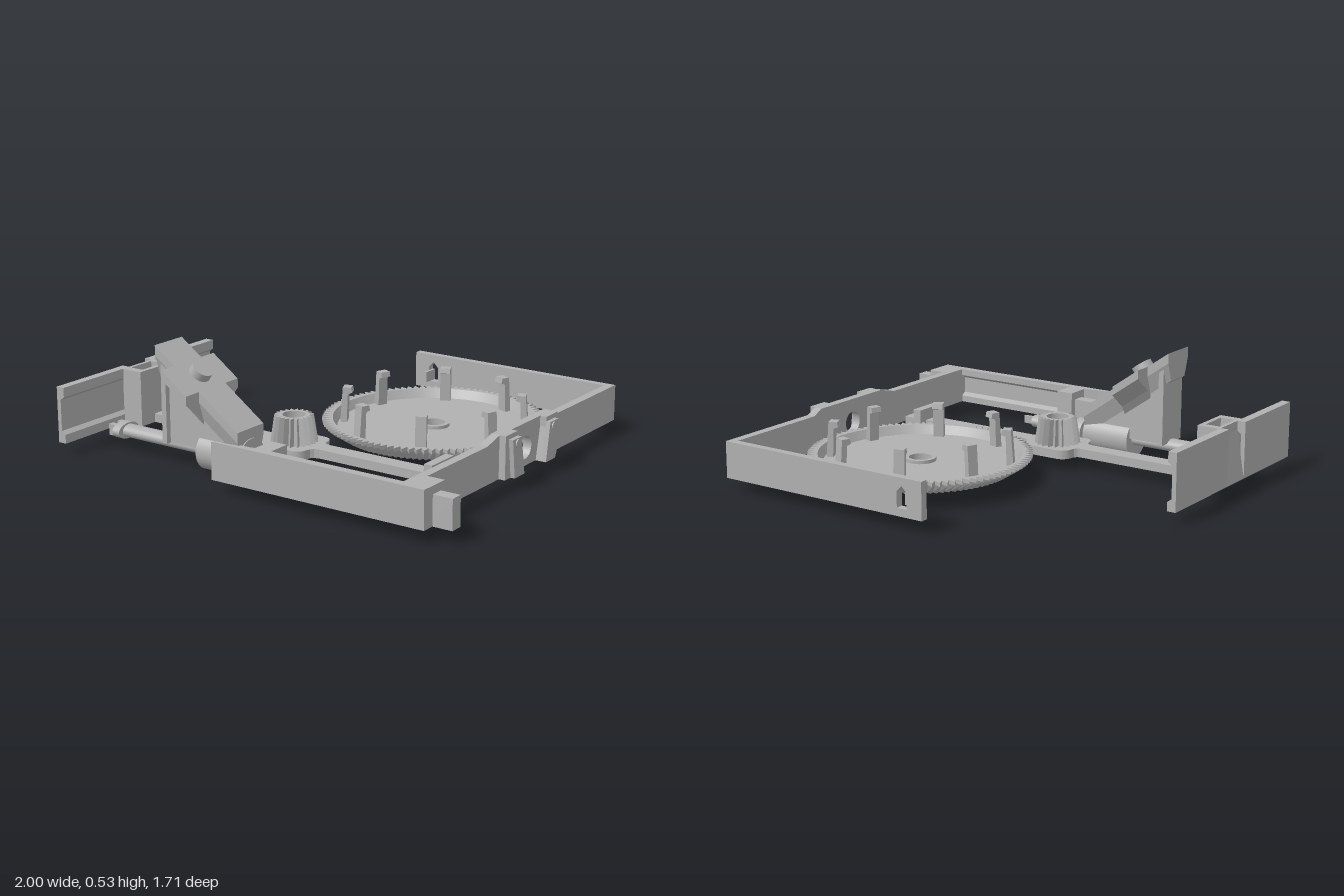
import * as THREE from 'three';

const grey = new THREE.MeshStandardMaterial({ color: 0xb0b0b0 });
grey.name = 'grey plastic';

export function createModel() {
  const model = new THREE.Group();
  model.name = 'gearMechanism';

  const add = (name, geometry, parent = model) => {
    const mesh = new THREE.Mesh(geometry, grey);
    mesh.name = name;
    parent.add(mesh);
    return mesh;
  };
  // box given by its limits
  const box = (name, x0, x1, y0, y1, z0, z1) => add(name,
    new THREE.BoxGeometry(x1 - x0, y1 - y0, z1 - z0)
      .translate((x0 + x1) / 2, (y0 + y1) / 2, (z0 + z1) / 2));
  const outline = (pts, holes = []) => {
    const shape = new THREE.Shape(pts.map(p => new THREE.Vector2(...p)));
    holes.forEach(h => shape.holes.push(h));
    return shape;
  };
  const circle = (x, y, r) => new THREE.Path().absarc(x, y, r, 0, Math.PI * 2, true);
  const extrude = (shape, depth) =>
    new THREE.ExtrudeGeometry(shape, { depth, bevelEnabled: false, curveSegments: 20 });
  const alongZ = (shape, z0, z1) => extrude(shape, z1 - z0).translate(0, 0, z0);
  // shape is drawn in (-z, y)
  const alongX = (shape, x0, x1) => extrude(shape, x1 - x0).rotateY(Math.PI / 2).translate(x0, 0, 0);
  // shape is drawn in (x, -z)
  const alongY = (shape, y0, y1) => extrude(shape, y1 - y0).rotateX(-Math.PI / 2).translate(0, y0, 0);
  const rod = (name, r, x0, x1, y, z, flat = 1) => add(name,
    new THREE.CylinderGeometry(r, r, x1 - x0, 32).rotateZ(Math.PI / 2)
      .scale(1, flat, 1).translate((x0 + x1) / 2, y, z));
  // toothed ring; each row is [height, root radius, tip radius], rows close on themselves
  const gear = (teeth, rows) => {
    const pos = [], index = [], n = teeth * 2;
    for (const [y, root, tip = root] of rows)
      for (let i = 0; i < n; i++) {
        const a = i / n * Math.PI * 2, r = i % 2 ? tip : root;
        pos.push(r * Math.cos(a), y, r * Math.sin(a));
      }
    rows.forEach((_, k) => {
      const b = k * n, t = ((k + 1) % rows.length) * n;
      for (let i = 0; i < n; i++) {
        const j = (i + 1) % n;
        index.push(b + i, t + i, b + j, b + j, t + i, t + j);
      }
    });
    const indexed = new THREE.BufferGeometry();
    indexed.setAttribute('position', new THREE.Float32BufferAttribute(pos, 3));
    indexed.setIndex(index);
    const geometry = indexed.toNonIndexed();
    geometry.computeVertexNormals();
    return geometry;
  };

  // Frame: side wall with a raised middle and a shaft hole
  const sideWall = outline([[-0.83, 0.055], [0.855, 0.055], [0.855, 0.22], [0.32, 0.22], [0.27, 0.245],
    [-0.16, 0.245], [-0.26, 0.22], [-0.83, 0.22]], [circle(0.05, 0.135, 0.05)]);
  add('sideWall', alongX(sideWall, 0.79, 0.83));
  // back wall with latch slot
  const slot = new THREE.Path([[-0.15, 0.09], [-0.15, 0.16], [-0.125, 0.185], [-0.1, 0.16], [-0.1, 0.09]]
    .map(p => new THREE.Vector2(...p)));
  add('backWall', alongZ(outline([[-0.225, 0.055], [0.79, 0.055], [0.79, 0.22], [-0.225, 0.22]], [slot]), -0.855, -0.82));
  box('backLatch', -0.135, -0.122, 0.1, 0.15, -0.83, -0.755);
  // front wall: channel section open to the inside
  add('frontWall', alongX(outline([[-0.85, 0.055], [-0.81, 0.055], [-0.81, 0.085], [-0.832, 0.1],
    [-0.832, 0.175], [-0.81, 0.19], [-0.81, 0.22], [-0.85, 0.22]]), 0.15, 0.79));
  box('cornerBlock', 0.79, 0.91, 0.055, 0.22, 0.705, 0.85);
  box('cornerPeg', 0.91, 1, 0.055, 0.185, 0.733, 0.79);
  box('clipBlock', 0.07, 0.15, 0.055, 0.22, 0.705, 0.85);
  box('clipBar', -0.07, 0.07, 0.055, 0.185, 0.733, 0.79);
  add('clipHook', alongY(outline([[-0.13, -0.85], [0.07, -0.85], [0.07, -0.812], [0, -0.828],
    [-0.085, -0.836], [-0.09, -0.825]]), 0.055, 0.22));

  // Bearing brackets outside the side wall
  for (const s of [-1, 1]) {
    const pts = [[0.215, 0.055], [0.215, 0.245], [0.12, 0.245], [0.12, 0.2], [0.09, 0.055]]
      .map(([z, y]) => [0.05 + s * z, y]);
    add('bearingBracket', alongX(outline(pts), 0.83, 0.86));
    const rib = [[0.17, 0.055], [0.19, 0.225], [0.12, 0.225], [0.09, 0.055]].map(([z, y]) => [0.05 + s * z, y]);
    add('bracketRib', alongX(outline(rib), 0.86, 0.88));
    rod('bracketPin', 0.018, 0.86, 0.885, 0.203, -0.05 - s * 0.15);
  }

  // Large bevel gear: dished disc with a rim, hub and clips
  const wheel = new THREE.Group();
  wheel.name = 'largeGear';
  wheel.position.set(0.255, 0, -0.235);
  model.add(wheel);
  add('gearDisc', gear(96, [[0.055, 0.395, 0.415], [0.108, 0.462, 0.497], [0.125, 0.462, 0.497],
    [0.125, 0.45], [0.085, 0.43], [0.085, 0.07], [0.1, 0.07], [0.1, 0.05], [0.055, 0.05]]), wheel);
  const clip = outline([[0.39, 0.08], [0.42, 0.08], [0.408, 0.245], [0.37, 0.245], [0.365, 0.222], [0.385, 0.215]]);
  for (let i = 0; i < 8; i++) {
    const mesh = add('gearClip', alongZ(clip, -0.024, 0.024), wheel);
    mesh.rotation.y = -(20 + i * 45) * Math.PI / 180;
  }

  // Sliding arm with the pinion pad
  box('armLeft', -0.86, -0.19, 0.055, 0.095, 0.29, 0.37);
  box('armRight', 0, 0.75, 0.055, 0.095, 0.293, 0.37);
  box('armCrossHead', 0.625, 0.665, 0.055, 0.15, 0.25, 0.415);
  const pad = new THREE.Shape();
  const half = 0.123, corner = 0.05;
  [[1, 1], [-1, 1], [-1, -1], [1, -1]].forEach(([sx, sy], i) =>
    pad.absarc(-0.095 + sx * (half - corner), -0.332 + sy * (half - corner), corner,
      i * Math.PI / 2, (i + 1) * Math.PI / 2));
  pad.holes.push(circle(-0.095, -0.332, 0.05));
  add('pinionPad', alongY(pad, 0.055, 0.095));
  // fillets between the arm and the pad
  for (const sx of [-1, 1]) for (const sz of [-1, 1]) {
    const f = [[0.115, 0.038], [0.16, 0.038], [0.138, 0.046], [0.126, 0.058], [0.122, 0.08]]
      .map(([x, z]) => [-0.095 + sx * x, -0.332 + sz * z]);
    add('padFillet', alongY(outline(f), 0.055, 0.095));
  }
  add('pinion', gear(20, [[0.09, 0.078, 0.105], [0.215, 0.064, 0.086], [0.215, 0.05], [0.09, 0.05]]))
    .position.set(-0.095, 0, 0.332);

  // End plate: channel rails either side of a ramped notch
  const rail = outline([[-1, 0.055], [-0.96, 0.055], [-0.96, 0.095], [-0.98, 0.11],
    [-0.98, 0.25], [-0.96, 0.265], [-0.96, 0.308], [-1, 0.308]]);
  add('endPlateBack', alongZ(rail, -0.175, 0.265));
  add('endPlateFront', alongZ(rail, 0.415, 0.84));
  add('notchRamp', alongZ(outline([[-1, 0.055], [-0.945, 0.055], [-0.945, 0.308], [-0.955, 0.308]]), 0.265, 0.415));
  // hollow socket that holds the arm
  const socketHole = new THREE.Path([[-0.945, -0.42], [-0.945, -0.285], [-0.878, -0.285], [-0.878, -0.42]]
    .map(p => new THREE.Vector2(...p)));
  add('armSocket', alongY(outline([[-0.962, -0.457], [-0.857, -0.457], [-0.857, -0.25], [-0.962, -0.25]], [socketHole]), 0.055, 0.308));

  // Push shaft with barrel and collars
  const shaftZ = 0.608;
  rod('pushShaft', 0.04, -0.845, 0.21, 0.087, shaftZ, 0.72);
  for (const z of [0.568, 0.622]) box('shaftFork', -0.88, -0.84, 0.062, 0.112, z, z + 0.026);
  rod('leftCollar', 0.065, -0.84, -0.8, 0.087, shaftZ, 0.55);
  rod('rightCollar', 0.065, -0.08, -0.035, 0.087, shaftZ, 0.8);
  box('shaftTip', 0.21, 0.27, 0.07, 0.105, 0.6, 0.615);
  rod('barrel', 0.087, -0.345, -0.11, 0.087, shaftZ);

  // Sloped push tower: sections sheared along the slope, narrowing underneath
  const slope = -0.708;
  const sloped = (name, x0, x1, section) => {
    const geometry = alongX(outline(section.map(([z, y]) => [z - shaftZ, y])), x0, x1);
    const p = geometry.attributes.position;
    for (let i = 0; i < p.count; i++) p.setY(i, p.getY(i) + 0.53 + slope * (p.getX(i) + 0.555));
    geometry.computeVertexNormals();
    return add(name, geometry);
  };
  sloped('slopedPlate', -0.555, -0.115, [[-0.088, 0], [0.088, 0], [0.088, -0.045], [0.06, -0.13], [-0.06, -0.13], [-0.088, -0.045]]);
  sloped('crossArms', -0.45, -0.318, [[-0.172, 0], [0.172, 0], [0.172, -0.04], [0.085, -0.11], [0.06, -0.15],
    [-0.06, -0.15], [-0.085, -0.11], [-0.172, -0.04]]);
  add('towerWeb', alongZ(outline([[-0.53, 0.1], [-0.34, 0.1], [-0.2, 0.15], [-0.2, 0.25], [-0.53, 0.48]]), 0.548, 0.668));
  box('towerBack', -0.53, -0.505, 0.1, 0.46, 0.525, 0.692);
  const button = add('pushButton', new THREE.CylinderGeometry(0.048, 0.048, 0.07, 32));
  button.position.set(-0.385, 0.412, shaftZ);
  button.rotation.z = Math.atan(slope);

  return model;
}
